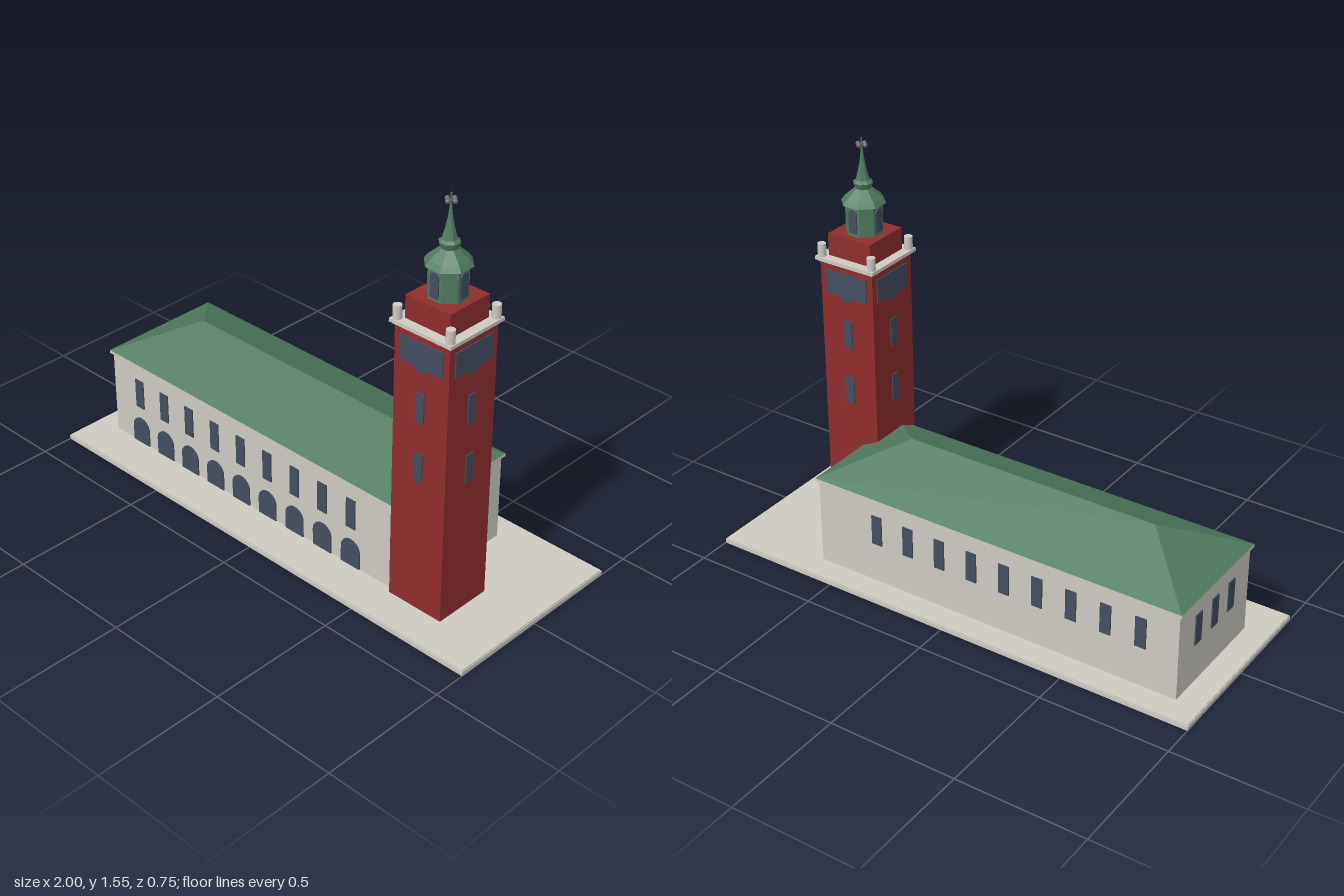
import * as THREE from 'three';

const mat = (name, color) => new THREE.MeshStandardMaterial({ name, color });

export function createModel() {
  const stone = mat('pale stone', 0xcdcac2);
  const brick = mat('red brick', 0x8f2d2e);
  const copper = mat('green copper', 0x507a5f);
  const glass = mat('dark glass', 0x434e5f);
  const iron = mat('grey iron', 0x666666);
  const model = new THREE.Group();
  model.name = 'townHall';

  const add = (parent, name, geometry, material, x = 0, y = 0, z = 0) => {
    const m = new THREE.Mesh(geometry, material);
    m.name = name;
    m.position.set(x, y, z);
    parent.add(m);
    return m;
  };
  // Box given by its width, bottom, top and depth
  const block = (parent, name, material, w, y0, y1, d, x = 0, z = 0) =>
    add(parent, name, new THREE.BoxGeometry(w, y1 - y0, d), material, x, (y0 + y1) / 2, z);
  const group = (parent, name, x, y, z, turn = 0) => {
    const g = new THREE.Group();
    g.name = name;
    g.position.set(x, y, z);
    g.rotation.y = turn;
    parent.add(g);
    return g;
  };
  // Thin plate half sunk into a wall
  const plate = (shape) =>
    new THREE.ExtrudeGeometry(shape, { depth: 0.009, bevelEnabled: false, curveSegments: 12 }).translate(0, 0, -0.0045);
  const polygon = (pts) => plate(new THREE.Shape(pts.map(([x, y]) => new THREE.Vector2(x, y))));
  const pane = (w, h) => polygon([[-w / 2, 0], [w / 2, 0], [w / 2, h], [-w / 2, h]]);
  const arch = (w, h) => {
    const s = new THREE.Shape();
    s.moveTo(-w / 2, 0);
    s.lineTo(w / 2, 0);
    s.lineTo(w / 2, h - w / 2);
    s.absarc(0, h - w / 2, w / 2, 0, Math.PI, false);
    s.closePath();
    return plate(s);
  };

  // Plinth
  block(model, 'plinthLower', stone, 2, 0, 0.016, 0.75);
  block(model, 'plinthUpper', stone, 1.994, 0.016, 0.02, 0.744);

  // Long hall
  const hx = -0.147, hz = -0.031, hw = 1.506, hd = 0.49;
  const hall = group(model, 'hall', hx, 0, hz);
  block(hall, 'hallWalls', stone, hw, 0.02, 0.365, hd);
  block(hall, 'eaves', stone, hw + 0.02, 0.362, 0.374, hd + 0.02);

  // Hipped roof
  const rx = hw / 2 + 0.01, rz = hd / 2 + 0.01, ry = 0.374, top = 0.5, ridge = 0.51;
  const [a, b, c, d] = [[-rx, ry, rz], [rx, ry, rz], [rx, ry, -rz], [-rx, ry, -rz]];
  const [e, f] = [[-ridge, top, 0], [ridge, top, 0]];
  const roof = new THREE.BufferGeometry();
  roof.setAttribute('position', new THREE.Float32BufferAttribute(
    [a, b, f, a, f, e, c, d, e, c, e, f, b, c, f, d, a, e].flat(), 3));
  roof.computeVertexNormals();
  add(hall, 'hippedRoof', roof, copper);

  // Hall windows, with an arcade along the front
  const hallPane = pane(0.043, 0.12), hallArch = arch(0.088, 0.11);
  const front = group(hall, 'frontWall', 0, 0, hd / 2);
  const back = group(hall, 'backWall', 0, 0, -hd / 2, Math.PI);
  for (let i = 0; i < 9; i++) {
    const x = -0.755 + i * 0.1377 - hx;
    add(front, 'frontWindow', hallPane, glass, x, 0.18);
    add(front, 'archway', hallArch, glass, x, 0.02);
    add(back, 'backWindow', hallPane, glass, -x, 0.18);
  }
  for (const side of [-1, 1]) {
    const end = group(hall, 'endWall', side * hw / 2, 0, 0, side * Math.PI / 2);
    for (let i = -1; i <= 1; i++) add(end, 'endWindow', hallPane, glass, i * 0.115, 0.18);
  }

  // Tower shaft, gallery and attic
  const tower = group(model, 'tower', 0.664, 0, 0.118);
  block(tower, 'towerShaft', brick, 0.232, 0.02, 1.1, 0.232);
  block(tower, 'galleryLower', stone, 0.246, 1.094, 1.1, 0.246);
  block(tower, 'galleryUpper', stone, 0.26, 1.1, 1.113, 0.26);
  block(tower, 'attic', brick, 0.188, 1.11, 1.198, 0.188);
  const post = new THREE.CylinderGeometry(0.016, 0.016, 0.05, 12);
  for (const x of [-1, 1]) for (const z of [-1, 1])
    add(tower, 'galleryPost', post, stone, x * 0.111, 1.137, z * 0.111);

  // Tower windows, the same on each face
  const slit = pane(0.036, 0.11);
  const belfry = polygon([[-0.09, 0.975], [-0.03, 0.975], [-0.018, 0.958], [0.018, 0.958],
    [0.03, 0.975], [0.09, 0.975], [0.09, 1.068], [-0.09, 1.068]]);
  const lanternPane = arch(0.036, 0.09);
  for (let i = 0; i < 4; i++) {
    const face = group(tower, 'towerFace', 0, 0, 0, i * Math.PI / 2);
    add(face, 'belfryOpening', belfry, glass, 0, 0, 0.116);
    for (const y of [0.54, 0.77]) add(face, 'towerWindow', slit, glass, 0, y, 0.116);
    add(face, 'lanternWindow', lanternPane, glass, 0, 1.21, 0.064);
  }

  // Eight-sided lantern and spire
  const profile = [[0.07, 1.198], [0.07, 1.312], [0.083, 1.312], [0.07, 1.33], [0.034, 1.362], [0.03, 1.366],
    [0.037, 1.388], [0.026, 1.397], [0.017, 1.43], [0.009, 1.47], [0.003, 1.52]];
  const octagon = new THREE.LatheGeometry(profile.map(([r, y]) => new THREE.Vector2(r, y)), 8).toNonIndexed();
  octagon.rotateY(Math.PI / 8);
  octagon.computeVertexNormals();
  add(tower, 'lanternAndSpire', octagon, copper);

  // Finial
  const ball = new THREE.SphereGeometry(0.009, 10, 8);
  add(tower, 'finialRod', new THREE.CylinderGeometry(0.003, 0.003, 0.055, 8), iron, 0, 1.527, 0);
  for (const [x, z] of [[1, 0], [-1, 0], [0, 1], [0, -1]])
    add(tower, 'finialBall', ball, iron, x * 0.016, 1.529, z * 0.016);
  block(tower, 'finialBarX', iron, 0.036, 1.527, 1.532, 0.005);
  block(tower, 'finialBarZ', iron, 0.005, 1.527, 1.532, 0.036);
  return model;
}
